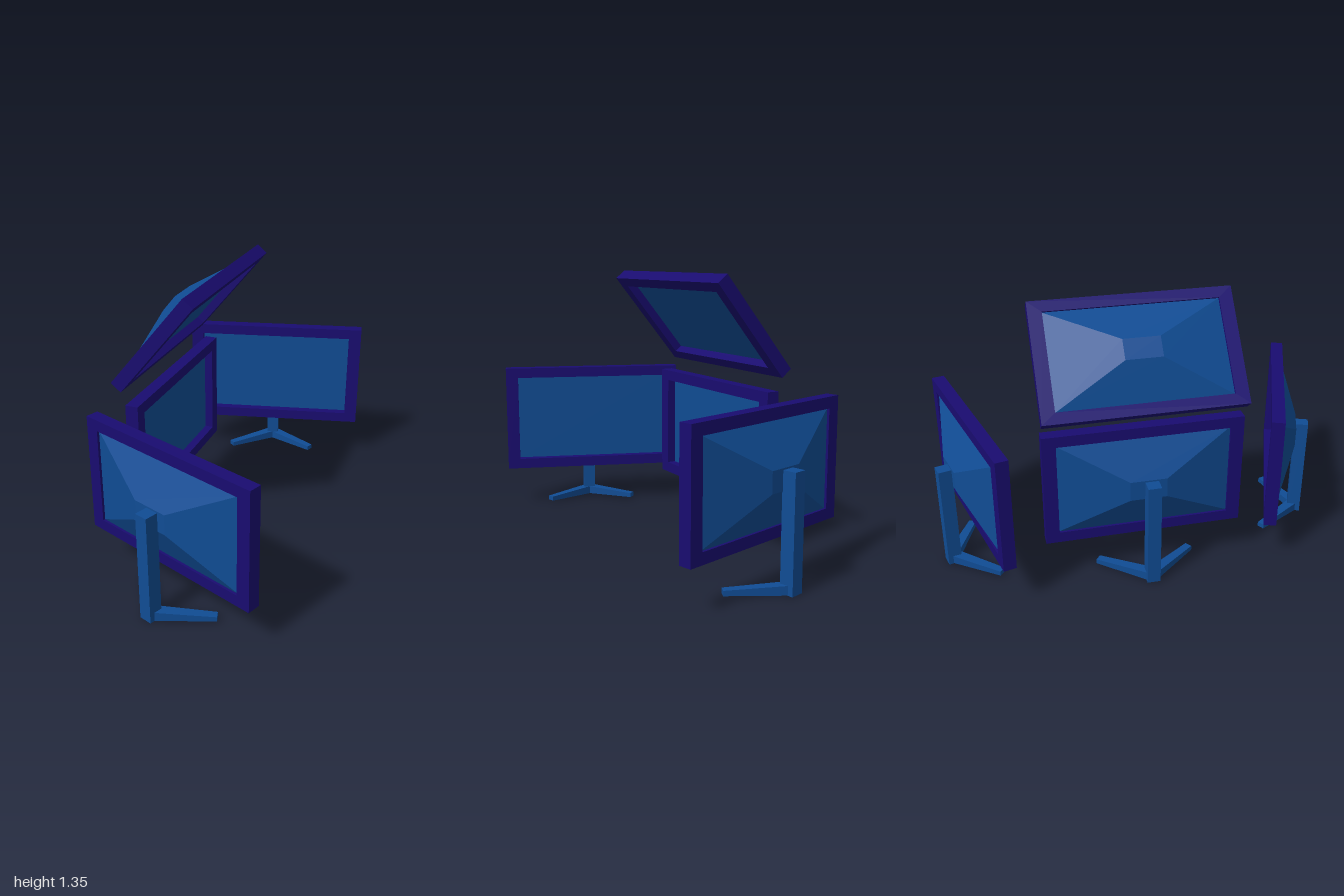
import * as THREE from 'three';

const frameMat = new THREE.MeshStandardMaterial({ color: 0x190c70, flatShading: true });
const blueMat = new THREE.MeshStandardMaterial({ color: 0x104c94, flatShading: true });

const W = 0.985, H = 0.585, DEPTH = 0.064; // frame outer size
const OPEN_W = 0.85, OPEN_H = 0.475;       // frame opening
const CENTRE_Y = 0.503;                    // screen centre above the floor

function part(name, geometry, material) {
  const mesh = new THREE.Mesh(geometry, material);
  mesh.name = name;
  return mesh;
}

// Box between z0 and z1 whose two ends have their own width and height
function taperedBox([w0, h0], z0, [w1, h1], z1) {
  const geo = new THREE.BoxGeometry(1, 1, 1);
  const p = geo.attributes.position;
  for (let i = 0; i < p.count; i++) {
    const far = p.getZ(i) > 0;
    p.setXYZ(i, p.getX(i) * (far ? w1 : w0), p.getY(i) * (far ? h1 : h0), far ? z1 : z0);
  }
  geo.computeVertexNormals();
  return geo;
}

function rectangle(Type, w, h) {
  const s = new Type();
  s.moveTo(-w / 2, -h / 2);
  s.lineTo(w / 2, -h / 2);
  s.lineTo(w / 2, h / 2);
  s.lineTo(-w / 2, h / 2);
  s.closePath();
  return s;
}

// Framed display facing +z, origin at the middle of the frame's back plane
function createDisplay() {
  const display = new THREE.Group();
  display.name = 'display';

  const outline = rectangle(THREE.Shape, W, H);
  outline.holes.push(rectangle(THREE.Path, OPEN_W, OPEN_H));
  const frame = new THREE.ExtrudeGeometry(outline, { depth: DEPTH, bevelEnabled: false });
  display.add(part('frame', frame, frameMat));

  // Screen sits deep inside the frame, with the sloped housing behind it
  const screen = new THREE.BoxGeometry(OPEN_W, OPEN_H, 0.008);
  screen.translate(0, 0, 0.016);
  display.add(part('screen', screen, blueMat));
  const housing = taperedBox([0.18, 0.1], -0.083, [OPEN_W, OPEN_H], 0.012);
  display.add(part('backHousing', housing, blueMat));
  return display;
}

// Post with two splayed feet, standing on the floor
function createStand() {
  const stand = new THREE.Group();
  stand.name = 'stand';
  const post = new THREE.BoxGeometry(0.066, 0.545, 0.068);
  post.translate(0, 0.2725, 0);
  stand.add(part('post', post, blueMat));
  for (const side of [-1, 1]) {
    const foot = part(side > 0 ? 'leftFoot' : 'rightFoot',
      taperedBox([0.055, 0.045], 0, [0.038, 0.024], 0.3), blueMat);
    foot.position.y = 0.0226;
    foot.rotation.y = side * Math.atan2(0.24, 0.18);
    stand.add(foot);
  }
  return stand;
}

function createStandingMonitor(name, x, z, turn) {
  const monitor = new THREE.Group();
  monitor.name = name;
  const display = createDisplay();
  display.position.y = CENTRE_Y;
  const stand = createStand();
  stand.position.set(-0.014, 0, -0.114);
  monitor.add(display, stand);
  monitor.position.set(x, 0, z);
  monitor.rotation.y = turn;
  return monitor;
}

export function createModel() {
  const model = new THREE.Group();
  model.name = 'monitorArray';

  // Three standing monitors around the viewer
  model.add(createStandingMonitor('centreMonitor', -0.334, -0.0175, Math.PI / 2));
  model.add(createStandingMonitor('rearMonitor', -0.0275, -0.855, 0.247));
  model.add(createStandingMonitor('frontMonitor', 0.0125, 0.815, Math.PI - 0.368));

  // Overhead monitor tilted down towards the viewer
  const overhead = createDisplay();
  overhead.name = 'overheadMonitor';
  overhead.position.set(-0.2175, 1.125, -0.0175);
  overhead.rotation.set(0.69, Math.PI / 2, 0, 'YXZ');
  model.add(overhead);

  return model;
}
